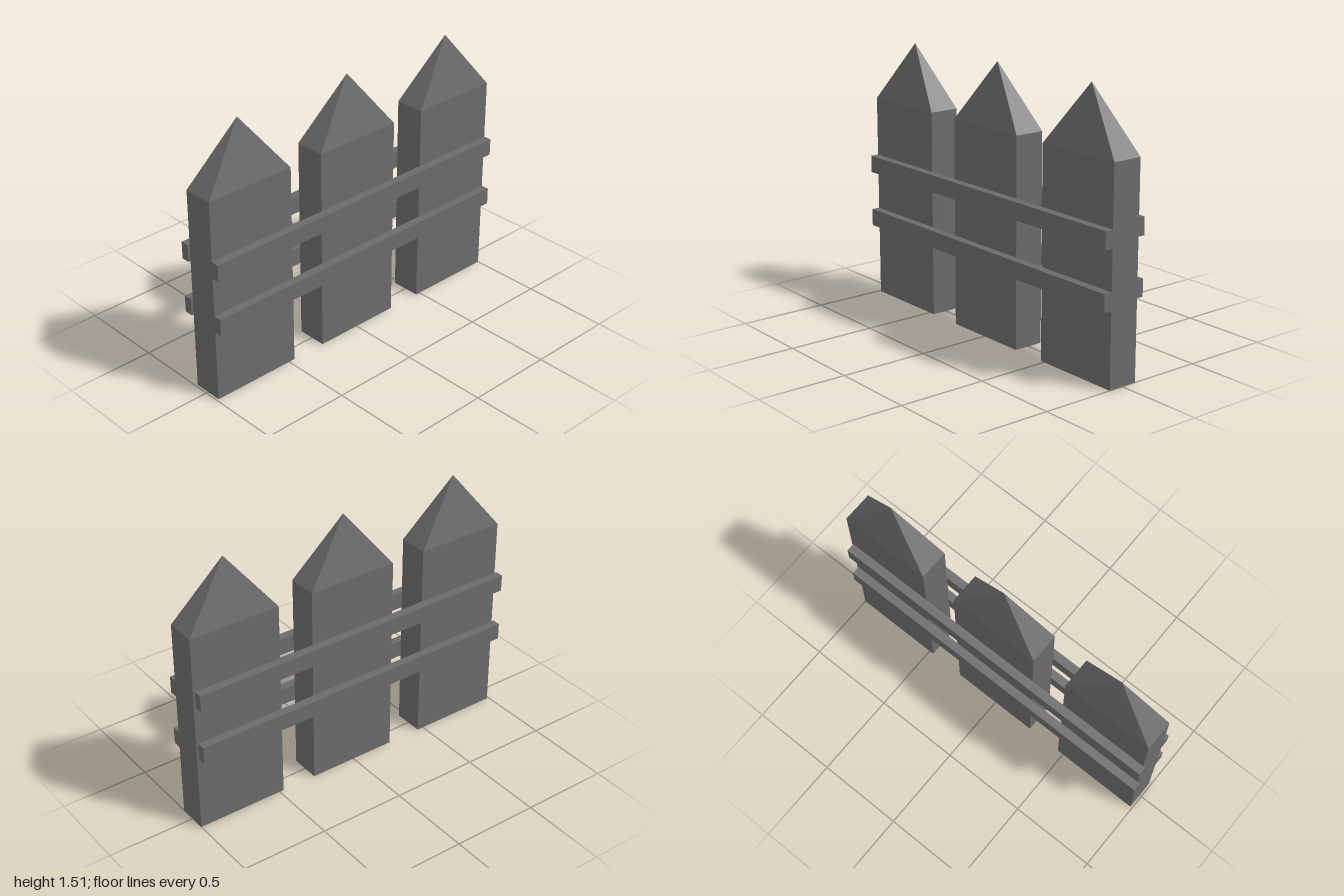
import * as THREE from 'three';

const material = new THREE.MeshStandardMaterial({ color: 0x6b6b6b, flatShading: true });

// Four-sided post with a pyramid tip, closed underneath
function picketGeometry(width, depth, shoulder, tip) {
  const r = Math.SQRT1_2;
  const profile = [[0, 0], [r, 0], [r, shoulder], [0, tip]].map(([x, y]) => new THREE.Vector2(x, y));
  const geometry = new THREE.LatheGeometry(profile, 4, Math.PI / 4).toNonIndexed();
  geometry.scale(width, 1, depth);
  geometry.computeVertexNormals();
  return geometry;
}

export function createModel() {
  const fence = new THREE.Group();
  fence.name = 'picketFence';

  // Three pointed pickets in a row along z
  const picket = picketGeometry(0.173, 0.526, 1.17, 1.512);
  [['frontPicket', 0.725], ['middlePicket', -0.006], ['backPicket', -0.737]].forEach(([name, z]) => {
    const mesh = new THREE.Mesh(picket, material);
    mesh.name = name;
    mesh.position.z = z;
    fence.add(mesh);
  });

  // Two rails on each face; the right pair sits slightly higher and further forward
  const rail = new THREE.BoxGeometry(0.048, 0.097, 1.989);
  for (const [side, x, lift, z] of [['left', 0.11, 0, -0.0055], ['right', -0.112, 0.024, 0.0055]]) {
    for (const [level, y] of [['Lower', 0.467], ['Upper', 0.787]]) {
      const mesh = new THREE.Mesh(rail, material);
      mesh.name = `${side}${level}Rail`;
      mesh.position.set(x, y + lift, z);
      fence.add(mesh);
    }
  }
  return fence;
}
